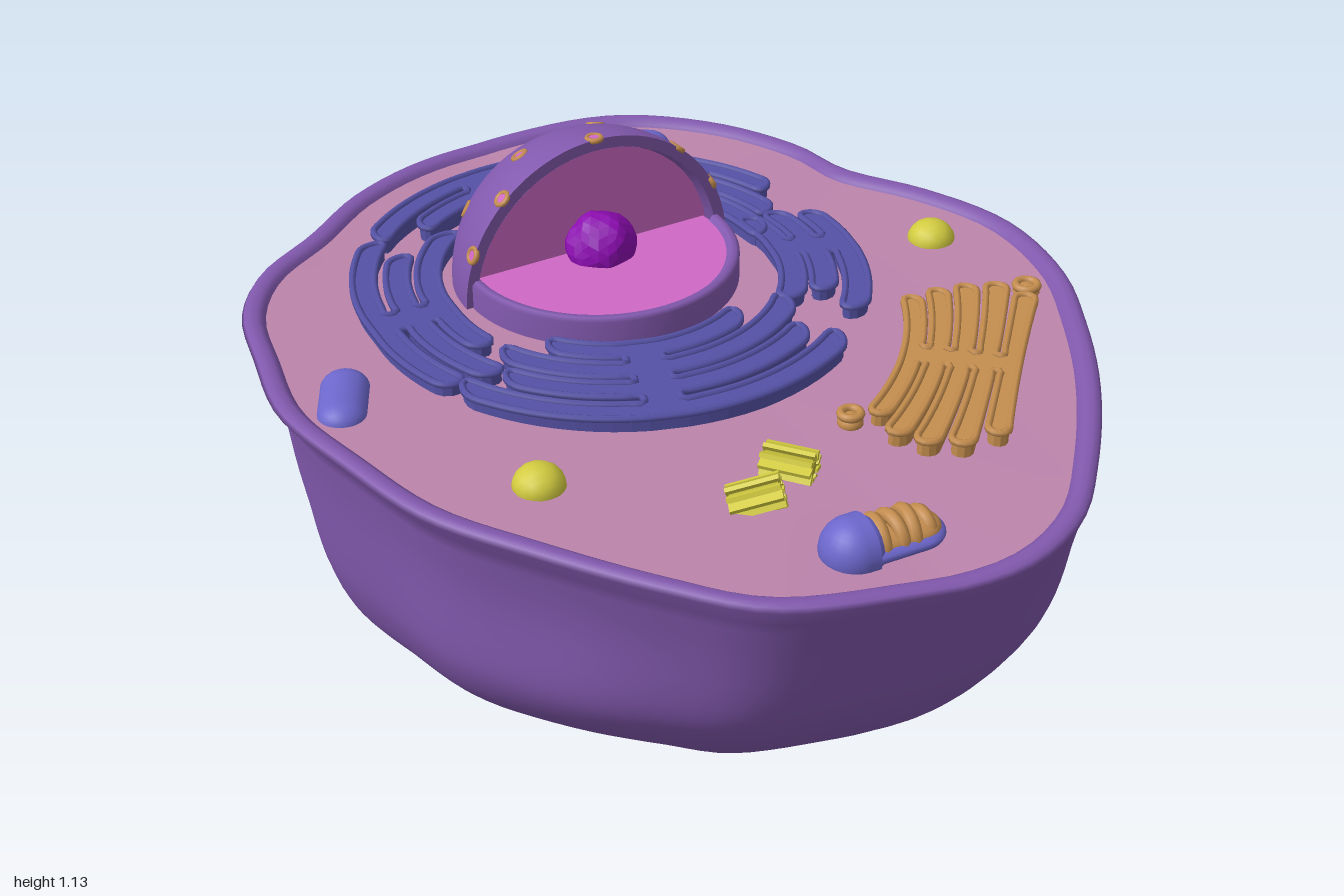
import * as THREE from 'three';

const mat = (name, color, side = THREE.FrontSide) => {
  const m = new THREE.MeshStandardMaterial({ color, side });
  m.name = name;
  return m;
};

export function createModel() {
  const root = new THREE.Group();
  root.name = 'cellModel';
  const M = {
    membrane: mat('membrane purple', 0x8259ae, THREE.DoubleSide),
    cytoplasm: mat('cytoplasm mauve', 0xbc84ab),
    pink: mat('nucleus pink', 0xcf68c4, THREE.DoubleSide),
    nucleolus: mat('nucleolus violet', 0x8c0cb0),
    reticulum: mat('reticulum blue', 0x5552a6),
    orange: mat('golgi orange', 0xc48d4e),
    blue: mat('mitochondrion blue', 0x6c67cc),
    yellow: mat('lysosome yellow', 0xd2cb40),
    olive: mat('centriole olive', 0xb9b032),
  };
  const add = (name, geo, material, x = 0, y = 0, z = 0, parent = root) => {
    const m = new THREE.Mesh(geo, material);
    m.name = name;
    m.position.set(x, y, z);
    parent.add(m);
    return m;
  };
  const group = (name, x, y, z, turn = 0) => {
    const g = new THREE.Group();
    g.name = name;
    g.position.set(x, y, z);
    g.rotation.y = turn;
    root.add(g);
    return g;
  };

  // Skin stretched over closed rings of equal length
  const loft = (rings) => {
    const n = rings[0].length, idx = [];
    for (let j = 0; j < rings.length - 1; j++) for (let i = 0; i < n; i++) {
      const k = (i + 1) % n, a = j * n + i, b = j * n + k, c = a + n, d = b + n;
      idx.push(a, c, b, b, c, d);
    }
    const g = new THREE.BufferGeometry();
    g.setAttribute('position', new THREE.Float32BufferAttribute(rings.flat().flatMap((p) => [p.x, p.y, p.z]), 3));
    g.setIndex(idx);
    g.computeVertexNormals();
    return g;
  };

  // Cell outline seen from above (x, z), clockwise from the back
  const outline = [[.11, -1], [.35, -.95], [.53, -.79], [.64, -.58], [.67, -.42], [.77, -.24], [.84, -.03],
    [.815, .2], [.73, .39], [.61, .59], [.44, .8], [.3, .93], [.13, .99], [-.1, .955], [-.33, .88],
    [-.47, .74], [-.63, .53], [-.75, .34], [-.81, .11], [-.845, -.11], [-.81, -.32], [-.765, -.5],
    [-.67, -.64], [-.51, -.755], [-.34, -.89], [-.13, -.98]];
  const edge = new THREE.CatmullRomCurve3(outline.map(([x, z]) => new THREE.Vector3(x, 0, z)), true).getSpacedPoints(120).slice(0, 120);
  const rimY = (p) => 0.803 + 0.03 * Math.min(1, Math.abs(p.x) / 0.8);

  // Bowl: height, then scale towards left (-x), right (+x), front and back
  const levels = [[0, 0, 0, 0, 0], [.018, .15, .2, .18, .24], [.055, .3, .46, .4, .4], [.11, .47, .62, .54, .54],
    [.18, .64, .77, .63, .68], [.24, .77, .84, .7, .72], [.32, .86, .9, .78, .765], [.42, .905, .95, .85, .81],
    [.5, .92, .975, .89, .85], [.65, .935, .985, .945, .92], [.76, .955, .985, .985, .98]];
  const along = (k) => new THREE.CatmullRomCurve3(levels.map((l) => new THREE.Vector3(l[0], l[k], l[k + 1]))).getPoints(40);
  const sides = along(1), ends = along(3);
  // Shallow dents (and, where negative, bulges) at angle, height, depth
  const dents = [[0.3, .36, .05], [2.0, .25, .03], [-2.2, .3, .02],
    [2.4, .42, -.05], [-0.78, .36, -.06], [0.9, .5, -.03], [2.7, .2, .02]];
  const rings = sides.map((l, j) => edge.map((p) => {
    const a = Math.atan2(p.z, p.x);
    let s = 1;
    for (const [da, dy, depth] of dents) {
      const t = Math.atan2(Math.sin(a - da), Math.cos(a - da));
      s -= depth * Math.exp(-((t / 0.38) ** 2) - ((l.x - dy) / 0.15) ** 2);
    }
    const sx = THREE.MathUtils.lerp(l.y, l.z, THREE.MathUtils.smoothstep(p.x, -0.5, 0.5));
    const sz = THREE.MathUtils.lerp(ends[j].z, ends[j].y, THREE.MathUtils.smoothstep(p.z, -0.5, 0.5));
    const shift = -0.1 * Math.max(0, 1 - l.x / 0.16) ** 2;
    return new THREE.Vector3(p.x * sx * s, l.x * (1 + (rimY(p) - 0.81) * l.x * 1.2), p.z * sz * s + shift);
  }));
  // Rounded lip: inset and height
  for (const [d, h] of [[0, -.012], [.006, -.003], [.018, .002], [.034, 0], [.046, -.008], [.053, -.025]])
    rings.push(edge.map((p) => {
      const s = 1 - d / Math.hypot(p.x, p.z);
      return new THREE.Vector3(p.x * s, rimY(p) + h, p.z * s);
    }));
  add('cellMembrane', loft(rings), M.membrane);
  add('cytoplasm', loft([1, .8, .6, .4, .2, 0].map((t) => edge.map((p) => {
    const s = t * (1 - 0.05 / Math.hypot(p.x, p.z));
    return new THREE.Vector3(p.x * s, THREE.MathUtils.lerp(0.812, rimY(p) - 0.014, t * t), p.z * s);
  }))), M.cytoplasm);

  // Nucleus: domed back, open half in front
  const nuc = group('nucleus', -0.034, 0.815, -0.3), R = 0.313;
  add('nucleusDome', new THREE.SphereGeometry(R, 40, 20, Math.PI, Math.PI, 0, Math.PI / 2), M.membrane, 0, 0, 0, nuc);
  add('domeCutEdge', new THREE.RingGeometry(0.288, R, 48, 1, 0, Math.PI), M.membrane, 0, 0, 0, nuc);
  const lining = new THREE.CylinderGeometry(0.278, 0.288, 0.03, 48, 1, true).rotateX(-Math.PI / 2);
  add('domeLining', lining, M.membrane, 0, 0, -0.015, nuc);
  add('nucleusWall', new THREE.CircleGeometry(0.281, 48, 0, Math.PI), M.pink, 0, 0, -0.025, nuc);
  add('nucleusFloor', new THREE.CircleGeometry(0.272, 48).rotateX(-Math.PI / 2), M.pink, 0, 0.05, 0, nuc);
  const lip = [[.298, -.03], [.298, .052], [.291, .06], [.279, .06], [.27, .05]].map((p) => new THREE.Vector2(...p));
  add('nucleusLip', new THREE.LatheGeometry(lip, 40, -Math.PI / 2, Math.PI), M.membrane, 0, 0, 0, nuc);
  const ball = new THREE.IcosahedronGeometry(0.075, 3);
  const bp = ball.attributes.position;
  for (let i = 0; i < bp.count; i++) {
    const v = new THREE.Vector3().fromBufferAttribute(bp, i);
    v.multiplyScalar(1 + 0.06 * Math.sin(v.x * 70) * Math.cos(v.y * 60 + v.z * 50));
    bp.setXYZ(i, v.x, v.y, v.z);
  }
  ball.computeVertexNormals();
  add('nucleolus', ball, M.nucleolus, 0.004, 0.065, 0, nuc);

  // Pores scattered over the dome (x, z from its centre)
  for (const [x, z] of [[-.085, -.245], [.11, -.24], [-.13, -.1], [.2, -.15], [0, -.012], [-.23, -.16],
    [.07, -.14], [-.215, -.015], [.2, -.015], [.02, -.295], [-.29, -.01], [.28, -.012]]) {
    const dir = new THREE.Vector3(x, Math.sqrt(Math.max(0, R * R - x * x - z * z)), z).normalize();
    const pore = new THREE.Group();
    pore.name = 'nuclearPore';
    pore.position.copy(dir).multiplyScalar(R - 0.002);
    pore.quaternion.setFromUnitVectors(new THREE.Vector3(0, 0, 1), dir);
    add('poreRing', new THREE.TorusGeometry(0.015, 0.006, 6, 14), M.orange, 0, 0, 0, pore);
    add('poreHole', new THREE.CircleGeometry(0.014, 12), M.pink, 0, 0, 0.003, pore);
    nuc.add(pore);
  }

  // Folded sac: fingers [across, start, end] joined by a spine, with a raised rim.
  // place(across, along) gives [x, z]; w is half a finger, h half the spine.
  const comb = (name, fingers, w, h, place, material, top) => {
    const loop = [];
    const put = (v, u) => loop.push(new THREE.Vector2(...place(v, u)));
    const finger = (v, end, side) => {
      const n = 10, from = side * h;
      for (let i = 0; i <= n; i++) put(v - side * w, from + (end - from) * i / n);
      for (let i = 1; i < 5; i++) put(v - side * w * Math.cos(i * Math.PI / 5), end + side * w * Math.sin(i * Math.PI / 5));
      for (let i = n; i >= 0; i--) put(v + side * w, from + (end - from) * i / n);
    };
    for (const [v, , end] of fingers) finger(v, end, 1);
    for (const [v, end] of [...fingers].reverse()) finger(v, end, -1);
    const shape = new THREE.Shape(loop.map((p) => new THREE.Vector2(p.x, -p.y)));
    const slab = new THREE.ExtrudeGeometry(shape, { depth: top - 0.798, bevelEnabled: false }).rotateX(-Math.PI / 2);
    add(name, slab, material, 0, 0.79, 0);
    const rim = new THREE.CatmullRomCurve3(loop.map((p) => new THREE.Vector3(p.x, top - 0.008, p.y)), true);
    rim.arcLengthDivisions = 1200;
    add(name + 'Rim', new THREE.TubeGeometry(rim, 100 * fingers.length, 0.008, 6, true), material);
  };

  // Reticulum: spine angle, then fingers of radius, start and end angle in degrees
  const rad = Math.PI / 180;
  for (const [spine, ...arcs] of [
    [262, [.435, 237, 286], [.505, 227, 297]],
    [324, [.37, 304, 362], [.435, 299, 352], [.505, 306, 342]],
    [18, [.375, -1, 44], [.435, 0, 38], [.5, 4, 45]],
    [182, [.37, 160, 230], [.435, 149, 213], [.505, 154, 219]],
    [106, [.305, 68, 134], [.37, 52, 146], [.435, 64, 140], [.505, 62, 147]],
  ]) {
    const place = (r, u) => {
      const a = spine * rad + u / r, k = r * (1 + 0.12 * Math.max(0, Math.sin(a)));
      return [-0.04 + k * Math.cos(a), -0.27 + k * Math.sin(a)];
    };
    comb('reticulumFold', arcs.map(([r, a0, a1]) => [r, (a0 - spine) * rad * r, (a1 - spine) * rad * r]), 0.023, 0.035, place, M.reticulum, 0.85);
  }

  // Golgi stack: fingers side by side on a diagonal, pinched in the middle
  const diag = (v, u) => {
    const s = v * (0.9 + 3 * u * u) - 0.3 * u * u + 0.005;
    return [0.4 + u * 0.68 + s * 0.74, 0.4 - u * 0.74 + s * 0.67];
  };
  comb('golgiStack', [[-.11, -.21, .2], [-.055, -.27, .24], [0, -.29, .27], [.055, -.28, .29], [.11, -.23, .26]],
    0.019, 0.03, diag, M.orange, 0.846);
  for (const [x, z, r] of [[.11, .45, .026], [.7, .225, .03]]) {
    add('vesicle', new THREE.SphereGeometry(r, 16, 10), M.orange, x, 0.812, z).scale.y = 0.8;
    add('vesicleRim', new THREE.TorusGeometry(r * 0.75, 0.009, 8, 20).rotateX(Math.PI / 2), M.orange, x, 0.832, z);
  }

  // Whole mitochondria: half-sunk capsules
  const capsule = (r, len) => new THREE.CapsuleGeometry(r, len, 8, 20).rotateZ(Math.PI / 2);
  for (const [x, z, turn, len] of [[.295, -.785, -.52, .115], [-.71, -.105, 1.1, .1]]) {
    const m = add('mitochondrion', capsule(0.05, len), M.blue, x, 0.812, z);
    m.rotation.y = turn;
    m.scale.y = 0.75;
  }

  // Opened mitochondrion: closed cap, trough and inner folds
  const mito = group('openMitochondrion', -0.045, 0.808, 0.795, -0.05);
  add('mitoCap', new THREE.SphereGeometry(0.064, 24, 16), M.blue, -0.065, 0, 0, mito);
  add('mitoSleeve', new THREE.CylinderGeometry(0.064, 0.064, 0.025, 24).rotateZ(Math.PI / 2), M.blue, -0.054, 0, 0, mito);
  add('mitoTrough', capsule(0.062, 0.12), M.blue, 0, 0, 0, mito).scale.y = 0.35;
  add('mitoInside', capsule(0.05, 0.1), M.orange, 0.014, 0.008, 0, mito).scale.y = 0.5;
  for (let i = 0; i < 4; i++) {
    const fold = add('mitoFold', new THREE.TorusGeometry(i === 3 ? 0.03 : 0.04, 0.014, 8, 20, Math.PI), M.orange, -0.018 + i * 0.032, 0.003, 0, mito);
    fold.rotation.y = Math.PI / 2 + (i % 2 ? 0.08 : -0.08);
  }

  // Lysosomes
  for (const [x, z] of [[-.51, .34], [.66, -.065]])
    add('lysosome', new THREE.IcosahedronGeometry(0.052, 2), M.yellow, x, 0.815, z).scale.y = 0.85;

  // Centrioles: nine blades around a core
  for (const [x, z, turn, tilt] of [[-.08, .53, -.9, 0], [-.19, .59, -.5, .3]]) {
    const g = group('centriole', x, 0.828, z, turn);
    g.rotation.z = tilt;
    g.scale.setScalar(0.9);
    add('centrioleCore', new THREE.CylinderGeometry(0.024, 0.024, 0.105, 18).rotateZ(Math.PI / 2), M.olive, 0, 0, 0, g);
    for (let i = 0; i < 9; i++) {
      const a = i * Math.PI * 2 / 9;
      const blade = add('centrioleBlade', new THREE.BoxGeometry(0.115, 0.022, 0.01), M.yellow, 0, 0.028 * Math.cos(a), 0.028 * Math.sin(a), g);
      blade.rotation.x = a + 0.5;
    }
  }
  return root;
}
